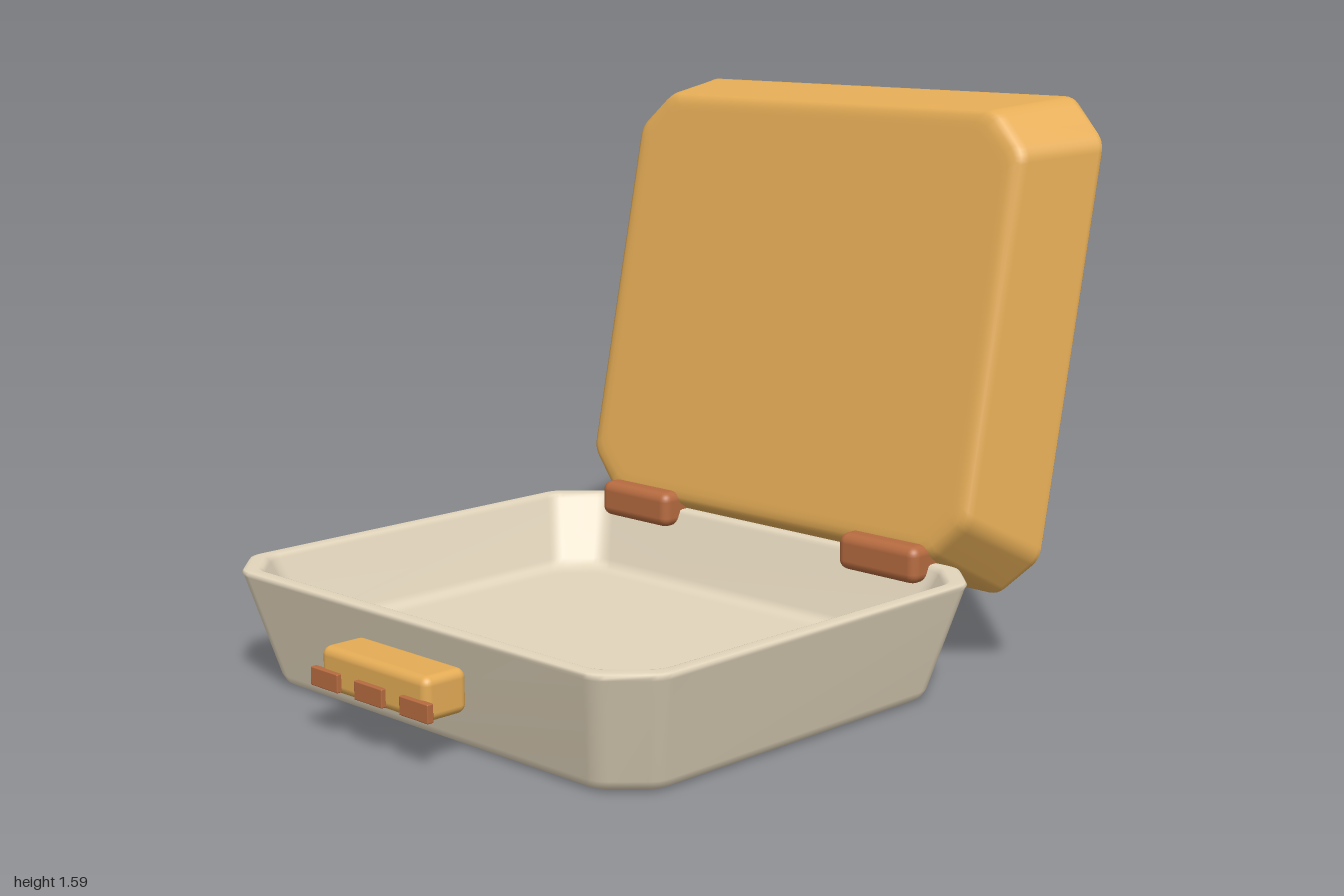
import * as THREE from 'three';
import { RoundedBoxGeometry } from 'three/addons/geometries/RoundedBoxGeometry.js';

const cream = new THREE.MeshStandardMaterial({ color: 0xe2d5bc });
cream.name = 'cream';
const gold = new THREE.MeshStandardMaterial({ color: 0xe4ac56 });
gold.name = 'gold';
const brown = new THREE.MeshStandardMaterial({ color: 0xb66b40 });
brown.name = 'brown';

// Rectangle with cut corners, each corner slightly rounded
function octagonRing(hx, hz, cut, y, round) {
  const c = [
    [hx, hz - cut], [hx - cut, hz], [cut - hx, hz], [-hx, hz - cut],
    [-hx, cut - hz], [cut - hx, -hz], [hx - cut, -hz], [hx, cut - hz],
  ].map(([x, z]) => new THREE.Vector2(x, z));
  const ring = [];
  c.forEach((p, i) => {
    const a = c[(i + 7) % 8].clone().sub(p).normalize().multiplyScalar(round).add(p);
    const b = c[(i + 1) % 8].clone().sub(p).normalize().multiplyScalar(round).add(p);
    for (const q of new THREE.QuadraticBezierCurve(a, p, b).getPoints(4)) ring.push(q.x, y, q.y);
  });
  return ring;
}

// Hollow tray: rings run from the outside base, over the rim, to the inside floor
function trayGeometry(depth, floor) {
  const HX = 0.81, HZ = 0.703;
  // inset from the rim, height, corner cut
  const profile = [
    [0.14, 0, 0.1], [0.12, 0, 0.1], [0.1, 0.003, 0.105], [0.086, 0.012, 0.11], [0.076, 0.032, 0.112],
    [0.004, depth - 0.018, 0.12], [0, depth - 0.009, 0.12], [0.004, depth - 0.002, 0.12],
    [0.012, depth, 0.12], [0.034, depth, 0.115], [0.042, depth - 0.003, 0.115],
    [0.047, depth - 0.014, 0.115],
    [0.117, floor + 0.027, 0.1], [0.127, floor + 0.011, 0.1],
    [0.142, floor + 0.003, 0.1], [0.162, floor, 0.095], [0.18, floor, 0.095],
  ];
  const rings = profile.map(([d, y, cut]) => octagonRing(HX - d, HZ - d, cut, y, 0.03));
  const n = rings[0].length / 3;
  const pos = rings.flat();
  const index = [];
  for (let r = 0; r < rings.length - 1; r++) {
    for (let i = 0; i < n; i++) {
      const a = r * n + i, b = r * n + (i + 1) % n;
      index.push(a, a + n, b, b, a + n, b + n);
    }
  }
  // Close the base and the floor
  const base = pos.length / 3, top = base + 1, last = (rings.length - 1) * n;
  pos.push(0, 0, 0, 0, floor, 0);
  for (let i = 0; i < n; i++) {
    const j = (i + 1) % n;
    index.push(base, i, j, top, last + j, last + i);
  }
  const g = new THREE.BufferGeometry();
  g.setAttribute('position', new THREE.Float32BufferAttribute(pos, 3));
  g.setIndex(index);
  g.computeVertexNormals();
  return g;
}

export function createModel() {
  const model = new THREE.Group();
  model.name = 'openBox';
  const add = (name, geometry, material, x, y, z) => {
    const mesh = new THREE.Mesh(geometry, material);
    mesh.name = name;
    mesh.position.set(x, y, z);
    model.add(mesh);
    return mesh;
  };

  add('tray', trayGeometry(0.33, 0.12), cream, 0, 0, 0.18);

  // Lid swung open past upright, its shallow hollow to the back
  const lid = add('lid', trayGeometry(0.265, 0.192), gold, 0, 0.96, -0.595);
  lid.rotation.x = -(Math.PI / 2 + 0.209);

  for (const [side, s] of [['left', 1], ['right', -1]]) {
    add(side + 'Hinge', new RoundedBoxGeometry(0.28, 0.105, 0.122, 3, 0.028), brown, s * 0.475, 0.333, -0.478);
  }

  // Front latch with three small tabs
  add('latch', new RoundedBoxGeometry(0.42, 0.118, 0.14, 3, 0.024), gold, 0, 0.179, 0.916);
  for (const s of [-1, 0, 1]) {
    add('latchTab', new RoundedBoxGeometry(0.11, 0.05, 0.02, 2, 0.003), brown, s * 0.178, 0.155, 0.99);
  }
  return model;
}
